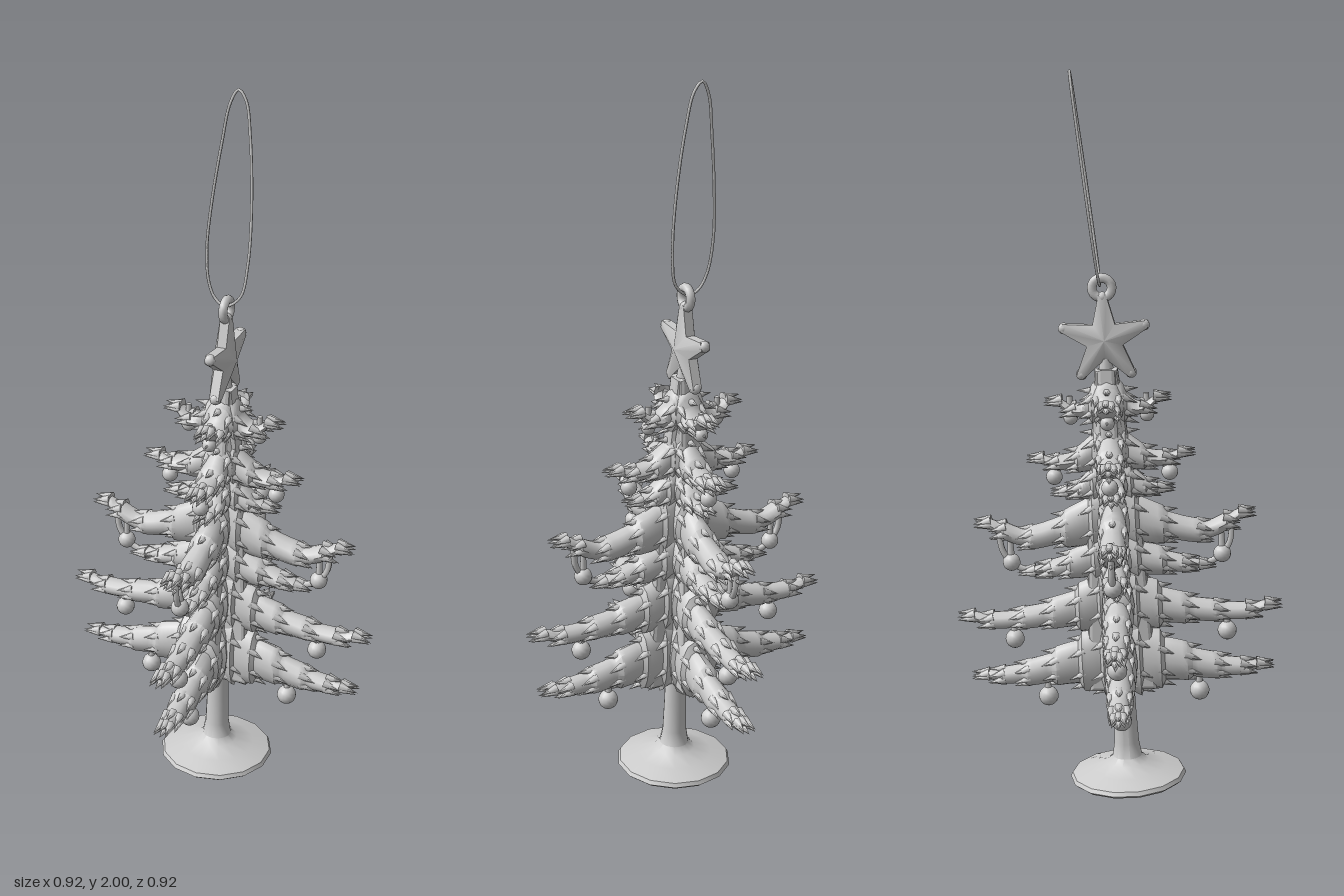
import * as THREE from 'three';
import { toCreasedNormals } from 'three/addons/utils/BufferGeometryUtils.js';

const material = new THREE.MeshStandardMaterial({ color: 0xcccccc });

function add(parent, name, geometry, x = 0, y = 0, z = 0) {
  const mesh = new THREE.Mesh(geometry, material);
  mesh.name = name;
  mesh.position.set(x, y, z);
  parent.add(mesh);
  return mesh;
}

function indexed(positions, index) {
  const g = new THREE.BufferGeometry();
  g.setAttribute('position', new THREE.Float32BufferAttribute(positions, 3));
  g.setIndex(index);
  return toCreasedNormals(g, 0.7);
}

// Each tier: stations of [reach, top edge, bottom edge], root to tip, and its needle clumps
const tiers = [
  { clumps: 6, path: [[0.01, 0.50, 0.25], [0.07, 0.46, 0.255], [0.15, 0.415, 0.285], [0.25, 0.37, 0.29], [0.34, 0.345, 0.30], [0.395, 0.335, 0.32]] },
  { clumps: 6, path: [[0.01, 0.66, 0.44], [0.07, 0.61, 0.44], [0.15, 0.56, 0.455], [0.25, 0.525, 0.46], [0.36, 0.51, 0.465], [0.425, 0.515, 0.495]] },
  { clumps: 4, path: [[0.01, 0.76, 0.60], [0.07, 0.715, 0.595], [0.14, 0.675, 0.605], [0.20, 0.65, 0.61], [0.245, 0.635, 0.62]] },
  { clumps: 5, path: [[0.01, 0.90, 0.69], [0.07, 0.845, 0.685], [0.15, 0.79, 0.695], [0.25, 0.755, 0.695], [0.32, 0.775, 0.73], [0.36, 0.785, 0.765]] },
  { clumps: 3, path: [[0.01, 0.97, 0.82], [0.06, 0.92, 0.82], [0.10, 0.875, 0.835], [0.14, 0.86, 0.845]] },
  { clumps: 4, path: [[0.01, 1.07, 0.90], [0.05, 1.02, 0.90], [0.10, 0.97, 0.91], [0.16, 0.955, 0.92], [0.20, 0.96, 0.945]] },
  { clumps: 3, path: [[0.01, 1.20, 1.03], [0.04, 1.15, 1.04], [0.08, 1.10, 1.06], [0.115, 1.105, 1.075], [0.14, 1.12, 1.105]] },
];
// Hanging baubles: reach, height, radius
const baubles = [[0.215, 0.255, 0.028], [0.30, 0.43, 0.027], [0.295, 0.655, 0.025], [0.16, 0.895, 0.023], [0.105, 1.06, 0.02]];

// Lofted bough whose section swells along each clump and snaps back
function boughGeometry(curve, clumps) {
  const rings = clumps * 6, sides = 12, pos = [], index = [];
  for (let i = 0; i <= rings; i++) {
    const t = i / rings, p = curve.getPoint(t);
    const f = (t * clumps) % 1, swell = 0.84 + 0.28 * f;
    const half = p.z * (i === rings ? 0.5 : swell), width = (0.042 - 0.026 * t ** 3) * (i === rings ? 0.6 : swell);
    for (let j = 0; j < sides; j++) {
      const a = j / sides * Math.PI * 2;
      pos.push(p.x, p.y + half * Math.sin(a), width * Math.cos(a));
      if (i < rings) {
        const k = i * sides + j, n = i * sides + (j + 1) % sides;
        index.push(k, k + sides, n, n, k + sides, n + sides);
      }
    }
  }
  const p = curve.getPoint(1), end = pos.length / 3;
  pos.push(p.x + 0.006, p.y, 0);
  for (let j = 0; j < sides; j++) index.push(end - sides + j, end, end - sides + (j + 1) % sides);
  return indexed(pos, index);
}

const needleGeometry = new THREE.ConeGeometry(1, 1, 6);
needleGeometry.translate(0, 0.3, 0);
const up = new THREE.Vector3(0, 1, 0);

function makeArm() {
  const arm = new THREE.Group();
  for (const { path, clumps } of tiers) {
    // z of the curve carries the half height
    const curve = new THREE.CatmullRomCurve3(path.map(([r, top, bottom]) =>
      new THREE.Vector3(r, (top + bottom) / 2, (top - bottom) / 2)));
    add(arm, 'bough', boughGeometry(curve, clumps));
    // Needle tufts on both flanks and along the lower and upper edges
    for (let c = 1; c <= clumps; c++) {
      const t = (c - 0.12) / clumps, p = curve.getPoint(t), width = 0.042 - 0.026 * t ** 3;
      for (const [height, side] of [[0.45, 1], [0.45, -1], [-0.35, 1], [-0.35, -1], [-0.85, 0], [0.85, 0]]) {
        const needle = add(arm, 'needleTuft', needleGeometry,
          p.x, p.y + height * p.z, side * width * 0.72);
        const droop = height > 0.8 ? 0.05 : -0.5 + 0.4 * t;
        needle.quaternion.setFromUnitVectors(up, new THREE.Vector3(1, droop, side * 0.12).normalize());
        needle.scale.set(0.013, 0.05, 0.013);
      }
    }
  }
  // Baubles with their short stems
  for (const [r, y, size] of baubles) {
    add(arm, 'bauble', new THREE.SphereGeometry(size, 14, 10), r, y, 0);
    add(arm, 'baubleStem', new THREE.CylinderGeometry(0.008, 0.01, 0.05, 8), r, y + size + 0.015, 0);
  }
  // Strand that links the middle bauble to the boughs around it
  const strand = new THREE.CatmullRomCurve3([[0.23, 0.63], [0.265, 0.635], [0.295, 0.655], [0.318, 0.69], [0.325, 0.745]]
    .map(([x, y]) => new THREE.Vector3(x, y, 0)));
  add(arm, 'strand', new THREE.TubeGeometry(strand, 16, 0.009, 6));
  return arm;
}

// Five-pointed star with a raised centre, lying in the yz plane
function starGeometry() {
  const pos = [0.034, 0, 0, -0.034, 0, 0], index = [], n = 15;
  for (let i = 0; i < 5; i++) {
    for (const [offset, radius] of [[-0.09, 0.122], [0.09, 0.122], [Math.PI / 5, 0.052]]) {
      const a = i * Math.PI * 0.4 + offset, y = Math.cos(a) * radius, z = Math.sin(a) * radius;
      pos.push(0.013, y, z, -0.013, y, z);
    }
  }
  for (let i = 0; i < n; i++) {
    const f = 2 + i * 2, g = 2 + (i + 1) % n * 2;
    index.push(0, f, g, 1, g + 1, f + 1, f, f + 1, g, g, f + 1, g + 1);
  }
  return indexed(pos, index);
}

export function createModel() {
  const model = new THREE.Group();
  model.name = 'treeOrnament';

  // The tree leans slightly backwards
  const tree = new THREE.Group();
  tree.name = 'tree';
  tree.position.set(-0.005, 0.012, 0.03);
  tree.rotation.x = -0.053;
  model.add(tree);

  const foot = [[0, 0], [0.155, 0], [0.166, 0.009], [0.16, 0.02], [0.11, 0.036], [0.06, 0.052], [0.042, 0.068],
    [0.035, 0.11], [0.032, 0.20], [0.03, 0.30], [0, 0.30]].map(([r, y]) => new THREE.Vector2(r, y));
  add(tree, 'footAndTrunk', toCreasedNormals(new THREE.LatheGeometry(foot, 14), 0.7));

  // Tapering core behind the boughs, one flat panel per direction
  const panel = new THREE.Shape([[-0.085, 0.28], [0.085, 0.28], [0.065, 0.75], [0.02, 1.18], [-0.02, 1.18], [-0.065, 0.75]]
    .map(([x, y]) => new THREE.Vector2(x, y)));
  const core = new THREE.ExtrudeGeometry(panel, { depth: 0.03, bevelSize: 0.012, bevelThickness: 0.012, bevelSegments: 2 });
  core.translate(0, 0, -0.015);
  for (let i = 0; i < 2; i++) add(tree, 'core', core).rotation.y = i * Math.PI / 2;
  add(tree, 'leader', new THREE.CylinderGeometry(0.016, 0.05, 0.22, 10), 0, 1.11, 0);

  // Four identical arms of boughs at right angles
  const arm = makeArm();
  for (let i = 0; i < 4; i++) {
    const copy = arm.clone();
    copy.name = 'boughArm';
    copy.rotation.y = i * Math.PI / 2;
    tree.add(copy);
  }

  // Star with rounded points, and the hanging ring above it
  add(tree, 'star', starGeometry(), 0, 1.272, 0);
  for (let i = 0; i < 5; i++) {
    const a = i * Math.PI * 0.4;
    add(tree, 'starPoint', new THREE.SphereGeometry(0.016, 10, 8), 0, 1.272 + 0.115 * Math.cos(a), 0.115 * Math.sin(a));
  }
  add(tree, 'ring', new THREE.TorusGeometry(0.027, 0.013, 8, 20), 0, 1.413, 0).rotation.y = Math.PI / 2;

  // Cord loop threaded through the ring, leaning back
  const cord = new THREE.CatmullRomCurve3([[-0.01, 1.43], [0.03, 1.46], [0.046, 1.55], [0.047, 1.7], [0.032, 1.88], [0.015, 1.97],
    [-0.007, 1.996], [-0.028, 1.96], [-0.045, 1.86], [-0.065, 1.70], [-0.072, 1.58], [-0.062, 1.49], [-0.04, 1.445]]
    .map(([x, y]) => new THREE.Vector3(x, y, -0.05 - (y - 1.43) * 0.14)), true);
  add(model, 'cord', new THREE.TubeGeometry(cord, 120, 0.004, 6, true));
  return model;
}
